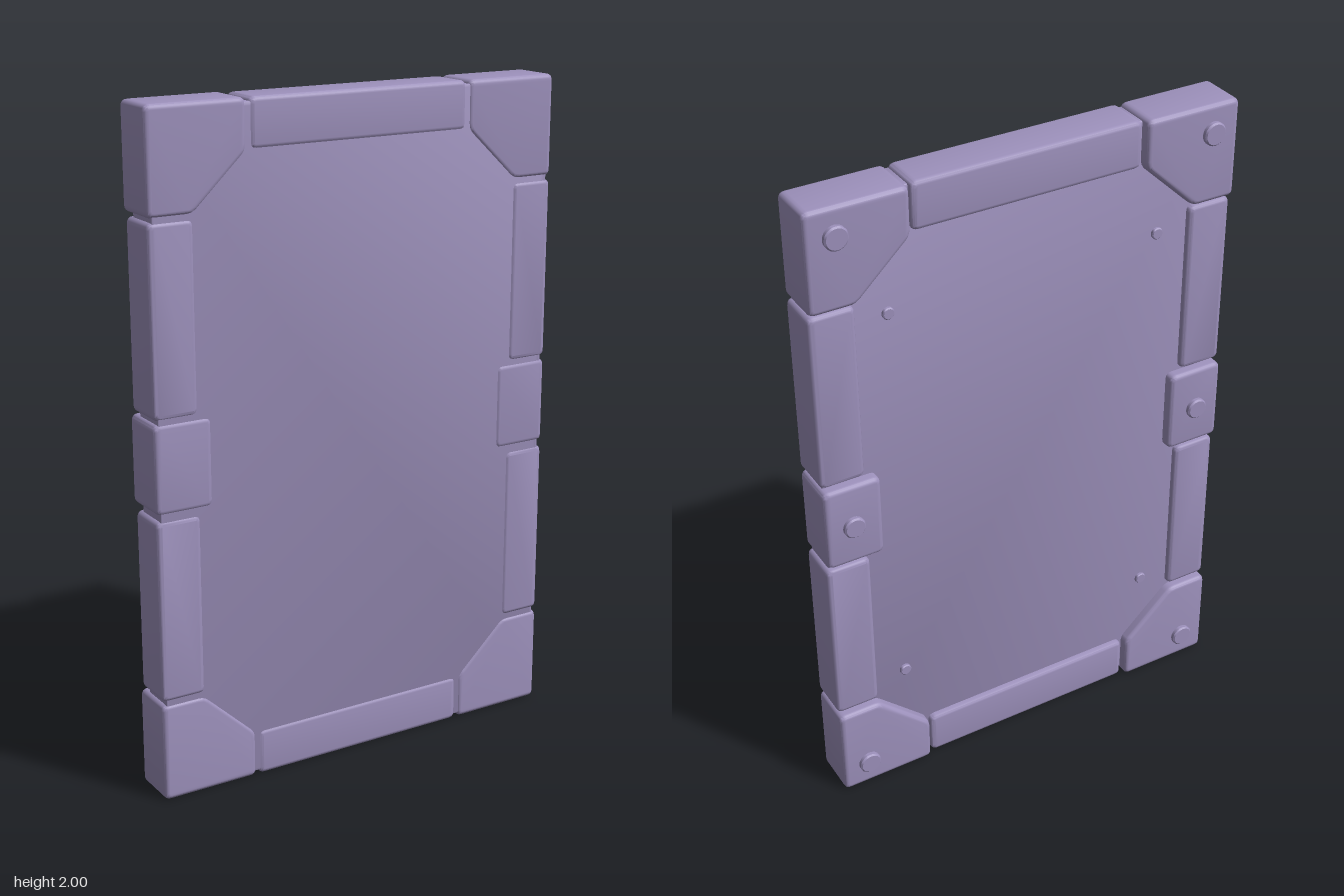
import * as THREE from 'three';
import { toCreasedNormals } from 'three/addons/utils/BufferGeometryUtils.js';

const FRONT = 0.08, ROUND = 0.014, FILLET = 0.02;

// Polygon with softly rounded corners
function roundedShape(points) {
  const pts = points.map(([x, y]) => new THREE.Vector2(x, y));
  const shape = new THREE.Shape();
  pts.forEach((p, i) => {
    const prev = pts[(i + pts.length - 1) % pts.length];
    const next = pts[(i + 1) % pts.length];
    const a = p.clone().add(prev.clone().sub(p).setLength(FILLET));
    const b = p.clone().add(next.clone().sub(p).setLength(FILLET));
    if (i === 0) shape.moveTo(a.x, a.y);
    else shape.lineTo(a.x, a.y);
    shape.quadraticCurveTo(p.x, p.y, b.x, b.y);
  });
  shape.closePath();
  return shape;
}

// Solid between two z planes with rounded edges all round
function block(name, points, back, front, material, round = ROUND) {
  const geometry = new THREE.ExtrudeGeometry(roundedShape(points), {
    depth: front - back - 2 * round,
    bevelEnabled: true, bevelThickness: round, bevelSize: round,
    bevelOffset: -round, bevelSegments: 4, curveSegments: 4,
  });
  geometry.translate(0, 0, back + round);
  const mesh = new THREE.Mesh(toCreasedNormals(geometry, 0.6), material);
  mesh.name = name;
  return mesh;
}

const rect = (x0, y0, x1, y1) => [[x0, y0], [x1, y0], [x1, y1], [x0, y1]];

// Round stud facing backwards, with a chamfered rim
function stud(name, x, y, base, radius, height, material) {
  const c = height * 0.3;
  const profile = [[0, -0.01], [radius, -0.01], [radius, height - c], [radius - c, height], [0, height]]
    .map(([r, h]) => new THREE.Vector2(r, h));
  const geometry = toCreasedNormals(new THREE.LatheGeometry(profile, 24), 0.6);
  geometry.rotateX(-Math.PI / 2);
  const mesh = new THREE.Mesh(geometry, material);
  mesh.position.set(x, y, base);
  mesh.name = name;
  return mesh;
}

export function createModel() {
  const group = new THREE.Group();
  group.name = 'framedPanel';
  const purple = new THREE.MeshStandardMaterial({ color: 0x9d91bc });
  purple.name = 'dustyPurple';

  // Central panel: nearly flush in front, recessed at the back
  group.add(block('panel', rect(-0.652, 0.012, 0.652, 1.988), -0.036, 0.076, purple, 0.006));

  const railBack = -0.056, blockBack = -0.07;
  for (const v of [-1, 1]) {
    // Top and bottom rails
    const Y = (y) => 1 + v * y;
    group.add(block(v > 0 ? 'topRail' : 'bottomRail',
      rect(-0.354, Y(0.858), 0.354, Y(1)), railBack, FRONT, purple));

    for (const s of [-1, 1]) {
      const side = s > 0 ? 'left' : 'right';
      const level = v > 0 ? 'Upper' : 'Lower';
      // Corner block with diagonal inner cut
      const corner = [[0.364, 1], [0.665, 1], [0.665, 0.7], [0.53, 0.7], [0.364, 0.856]]
        .map(([x, y]) => [s * x, Y(y)]);
      group.add(block(side + level + 'Corner', corner, blockBack, FRONT, purple));
      // Side rail
      group.add(block(side + level + 'Rail',
        rect(s * 0.528, Y(0.145), s * 0.665, Y(0.69)), railBack, FRONT, purple));
      // Corner foot and panel bolt on the back
      group.add(stud(side + level + 'Foot', s * 0.58, Y(0.915), blockBack, 0.035, 0.015, purple));
      group.add(stud(side + level + 'Bolt', s * 0.427, Y(0.63), -0.036, 0.018, 0.01, purple));
    }
  }

  // Middle blocks with their feet
  for (const s of [-1, 1]) {
    const side = s > 0 ? 'left' : 'right';
    group.add(block(side + 'MiddleBlock',
      rect(s * 0.488, 0.873, s * 0.665, 1.135), blockBack, FRONT, purple));
    group.add(stud(side + 'MiddleFoot', s * 0.58, 1.0, blockBack, 0.033, 0.015, purple));
  }
  return group;
}
